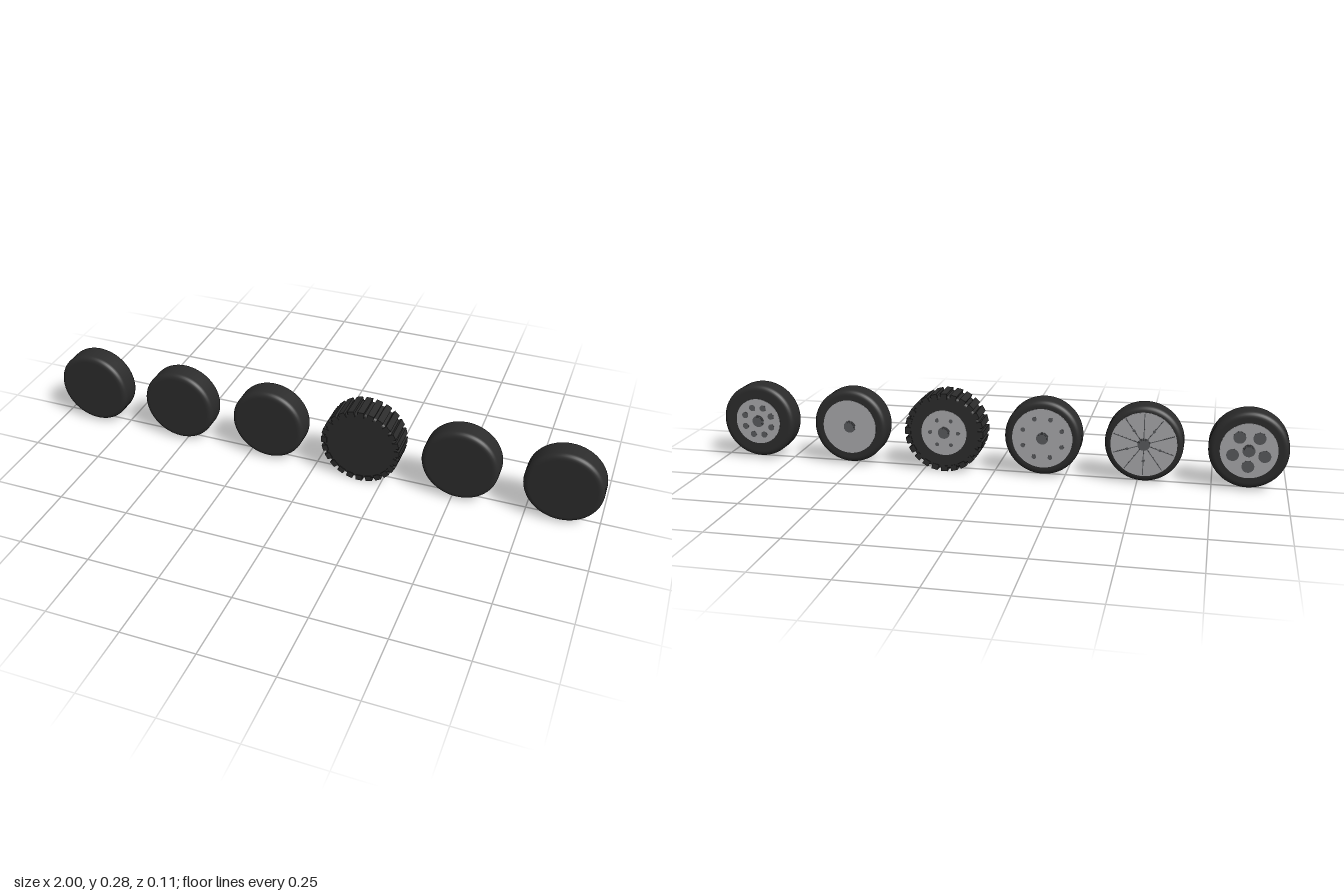
import * as THREE from 'three';

const rubber = new THREE.MeshStandardMaterial({ color: 0x2b2b2b });
rubber.name = 'rubber black';
const alloy = new THREE.MeshStandardMaterial({ color: 0xa6a6a9 });
alloy.name = 'alloy grey';
const steel = new THREE.MeshStandardMaterial({ color: 0x58595c });
steel.name = 'dark steel';

const AXLE_Y = 0.141;
const SPACING = 0.3467;
const RADIUS = 0.133;

function add(group, name, geometry, material) {
  const mesh = new THREE.Mesh(geometry, material);
  mesh.name = name;
  group.add(mesh);
  return mesh;
}

// Disc with its axis along z, spanning from z0 (back) to z1 (front)
function disc(radius, z0, z1, segments = 32) {
  return new THREE.CylinderGeometry(radius, radius, z1 - z0, segments)
    .rotateX(Math.PI / 2)
    .translate(0, 0, (z0 + z1) / 2);
}

// Solid tyre with rounded shoulders, revolved about z
function tyreGeometry(back, front, corner) {
  const points = [new THREE.Vector2(0, back), new THREE.Vector2(RADIUS - corner - 0.003, back)];
  for (const [z, start] of [[back + corner, -Math.PI / 2], [front - corner, 0]]) {
    for (let i = 0; i <= 6; i++) {
      const a = start + (i / 6) * Math.PI / 2;
      points.push(new THREE.Vector2(RADIUS - corner + corner * Math.cos(a), z + corner * Math.sin(a)));
    }
  }
  points.push(new THREE.Vector2(RADIUS - corner - 0.003, front), new THREE.Vector2(0, front));
  return new THREE.LatheGeometry(points, 64).rotateX(Math.PI / 2);
}

// Rim designs from the model's right to its left
const designs = [
  { name: 'fiveHoleWheel', rim: 0.095, holes: 5, holeRadius: 0.021, ring: 0.055 },
  { name: 'spokedWheel', rim: 0.112, holes: 5, holeRadius: 0.005, ring: 0.058, spokes: 10 },
  { name: 'dottedWheel', rim: 0.105, holes: 8, holeRadius: 0.008, ring: 0.073 },
  { name: 'knobbyWheel', rim: 0.081, holes: 6, holeRadius: 0.007, ring: 0.05, lugs: 24 },
  { name: 'plainWheel', rim: 0.097, holes: 0 },
  { name: 'eightHoleWheel', rim: 0.083, holes: 8, holeRadius: 0.0115, ring: 0.053 },
];

function buildWheel(d) {
  const wheel = new THREE.Group();
  wheel.name = d.name;
  const back = d.lugs ? -0.0455 : -0.0415;
  const front = d.lugs ? 0.0515 : 0.047;
  add(wheel, 'tyre', tyreGeometry(back, front, d.lugs ? 0.01 : 0.018), rubber);

  // Tread bars across the full width
  for (let i = 0; i < (d.lugs || 0); i++) {
    const lug = new THREE.BoxGeometry(0.023, 0.02, 0.102)
      .translate(0, 0.1305, 0.003)
      .rotateZ((i / d.lugs) * Math.PI * 2);
    add(wheel, 'treadLug', lug, rubber);
  }

  // Rim plate on the back face
  const face = back - 0.0015;
  add(wheel, 'rim', disc(d.rim, face, back + 0.003, 64), alloy);

  // Holes and spoke grooves as thin dark plates
  for (let i = 0; i < d.holes; i++) {
    const a = ((i + 0.5) / d.holes) * Math.PI * 2 + Math.PI / 2;
    const hole = disc(d.holeRadius, face - 0.0008, face + 0.001, 20)
      .translate(Math.cos(a) * d.ring, Math.sin(a) * d.ring, 0);
    add(wheel, 'rimHole', hole, steel);
  }
  for (let i = 0; i < (d.spokes || 0); i++) {
    const length = d.rim - 0.024;
    const spoke = new THREE.BoxGeometry(0.003, length, 0.0016)
      .translate(0, 0.02 + length / 2, face)
      .rotateZ((i / d.spokes) * Math.PI * 2);
    add(wheel, 'spokeGroove', spoke, steel);
  }

  // Stepped hub cap
  add(wheel, 'hub', disc(0.021, face - 0.0025, face + 0.002), steel);
  add(wheel, 'hubCap', disc(0.0165, face - 0.0045, face), steel);
  return wheel;
}

export function createModel() {
  const model = new THREE.Group();
  model.name = 'wheelSet';
  designs.forEach((d, i) => {
    const wheel = buildWheel(d);
    wheel.position.set((i - 2.5) * SPACING, AXLE_Y, 0);
    model.add(wheel);
  });
  return model;
}
